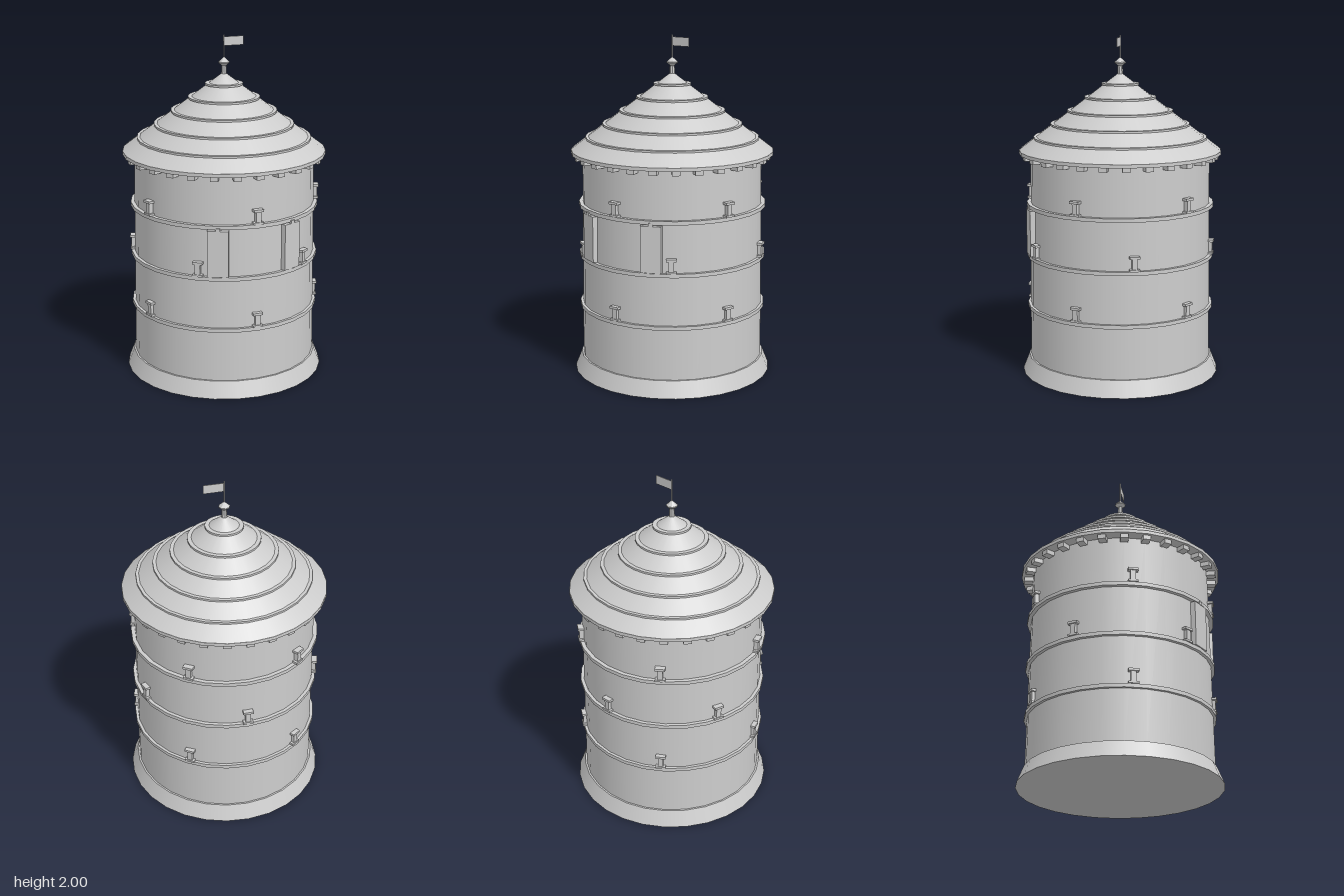
import * as THREE from 'three';

const SIDES = 28;

export function createModel() {
  const tower = new THREE.Group();
  tower.name = 'roundTower';
  const grey = new THREE.MeshStandardMaterial({ color: 0xcccccc });
  grey.name = 'plain grey';
  const flat = grey.clone();
  flat.flatShading = true;

  const add = (name, geometry, parent = tower, material = grey) => {
    const mesh = new THREE.Mesh(geometry, material);
    mesh.name = name;
    parent.add(mesh);
    return mesh;
  };
  // Round section between two heights
  const round = (name, rTop, rBottom, y0, y1, sides = SIDES) => {
    const mesh = add(name, new THREE.CylinderGeometry(rTop, rBottom, y1 - y0, sides));
    mesh.position.y = (y0 + y1) / 2;
    return mesh;
  };
  // Box inside a group that faces outward along +z
  const box = (name, parent, w, y0, y1, r0, r1) => {
    const mesh = add(name, new THREE.BoxGeometry(w, y1 - y0, r1 - r0), parent);
    mesh.position.set(0, (y0 + y1) / 2, (r0 + r1) / 2);
    return mesh;
  };
  const spoke = (name, angle) => {
    const group = new THREE.Group();
    group.name = name;
    group.rotation.y = angle;
    tower.add(group);
    return group;
  };

  // Walls and flared foot
  round('foot', 0.55, 0.588, 0, 0.095);
  round('wall', 0.527, 0.54, 0.09, 1.32);

  // Iron bands, each with five clamps, staggered on the middle band
  [[0.395, 0], [0.703, Math.PI / 5], [1.005, 0]].forEach(([y, offset]) => {
    round('band', 0.553, 0.553, y, y + 0.022);
    for (let i = 0; i < 5; i++) {
      const clamp = spoke('clamp', offset + (i * Math.PI * 2) / 5);
      const top = y + 0.022;
      box('clampFoot', clamp, 0.058, top, top + 0.012, 0.52, 0.558);
      box('clampStem', clamp, 0.03, top + 0.01, top + 0.075, 0.52, 0.553);
      box('clampCap', clamp, 0.058, top + 0.072, top + 0.086, 0.52, 0.56);
    }
  });

  // Pair of shutters with a small hook above each
  for (const side of [-1, 1]) {
    const shutter = spoke('shutter', side * 0.418);
    box('shutterPanel', shutter, 0.12, 0.728, 0.997, 0.515, 0.555);
    box('shutterHook', shutter, 0.025, 0.995, 1.015, 0.53, 0.558);
  }

  // Blocks under the eaves
  for (let i = 0; i < SIDES; i++) {
    const block = spoke('eaveBlock', (i * Math.PI * 2) / SIDES);
    box('block', block, 0.045, 1.288, 1.32, 0.525, 0.578);
  }

  // Eaves, conical roof and its raised rings
  round('eaves', 0.595, 0.595, 1.315, 1.335);
  const roof = add('roof', new THREE.ConeGeometry(0.594, 0.455, SIDES, 6));
  roof.position.y = 1.335 + 0.455 / 2;
  for (let i = 0; i < 5; i++) {
    const r = 0.51 - i * 0.1;
    const y = 1.402 + i * 0.078;
    round('roofRing', r, r, y, y + 0.011);
  }

  // Finial, pole and flag
  const profile = [[0.018, 1.76], [0.014, 1.825], [0.033, 1.84], [0.033, 1.846], [0.004, 1.872]]
    .map(([r, y]) => new THREE.Vector2(r, y));
  add('finial', new THREE.LatheGeometry(profile, 8), tower, flat);
  round('flagPole', 0.004, 0.004, 1.86, 2, 6);
  const flag = add('flag', new THREE.BoxGeometry(0.118, 0.052, 0.004));
  flag.position.set(0.06, 1.964, 0);

  return tower;
}
